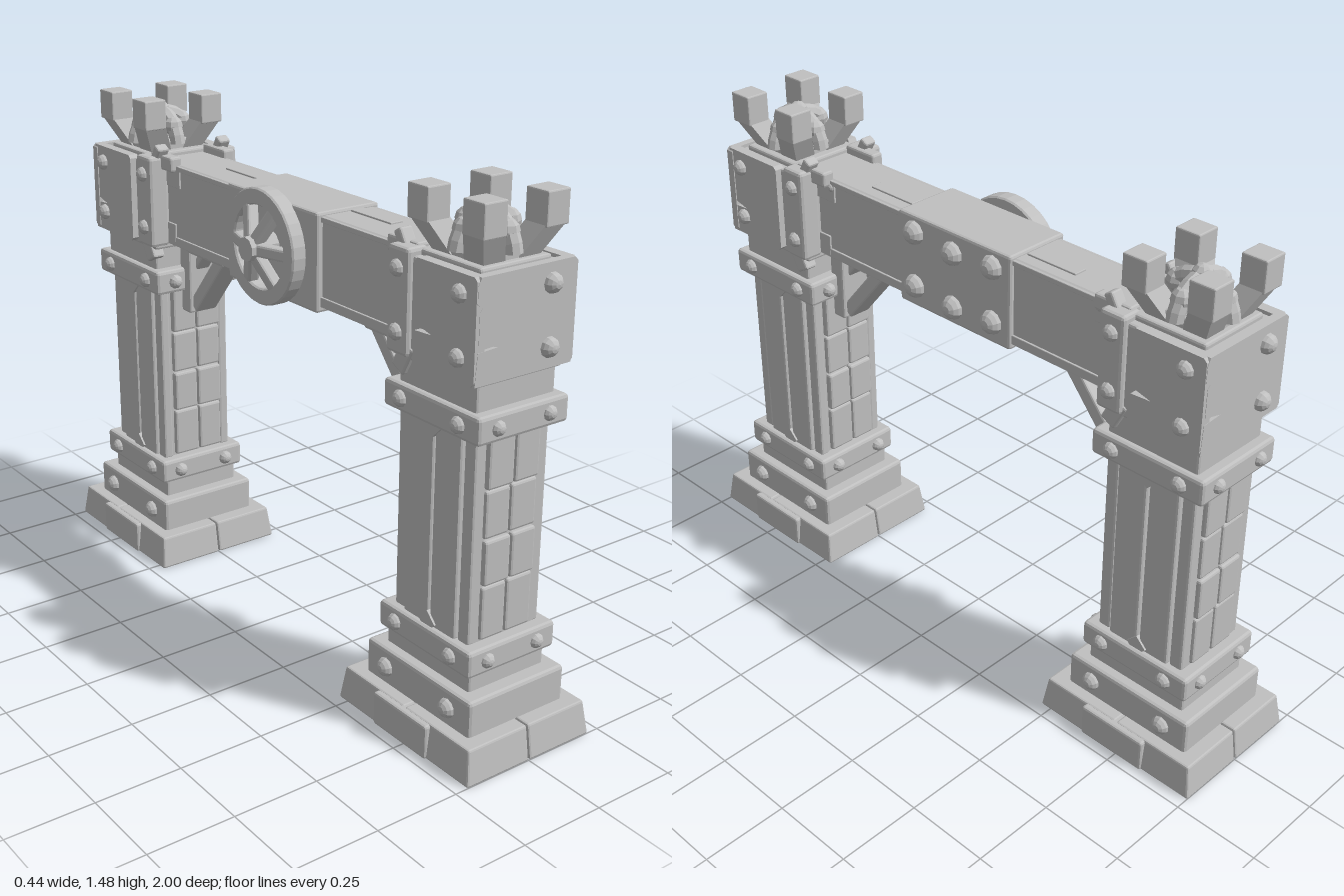
import * as THREE from 'three';
import { RoundedBoxGeometry } from 'three/addons/geometries/RoundedBoxGeometry.js';

const stone = new THREE.MeshStandardMaterial({ color: 0xbfbfbf, flatShading: true });
stone.name = 'grey stone';

function add(parent, name, geometry, x = 0, y = 0, z = 0) {
  const mesh = new THREE.Mesh(geometry, stone);
  mesh.name = name;
  mesh.position.set(x, y, z);
  parent.add(mesh);
  return mesh;
}

// Chamfered block given by its lower and upper limits
function block(parent, name, [x0, x1], [y0, y1], [z0, z1], bevel = 0.007) {
  const w = x1 - x0, h = y1 - y0, d = z1 - z0;
  const r = Math.min(bevel, w * 0.3, h * 0.3, d * 0.3);
  return add(parent, name, new RoundedBoxGeometry(w, h, d, 1, r), (x0 + x1) / 2, (y0 + y1) / 2, (z0 + z1) / 2);
}

// Domed bolt whose head points along dir
function bolt(parent, x, y, z, dir, r = 0.025) {
  const dome = new THREE.SphereGeometry(r, 10, 4, 0, Math.PI * 2, 0, Math.PI / 2);
  const mesh = add(parent, 'bolt', dome, x, y, z);
  mesh.quaternion.setFromUnitVectors(new THREE.Vector3(0, 1, 0), new THREE.Vector3(...dir));
  return mesh;
}

// Bar of rectangular section between two points in the y-z plane
function bar(parent, name, a, b, width, thick, x = 0) {
  const dy = b[0] - a[0], dz = b[1] - a[1];
  const mesh = add(parent, name, new RoundedBoxGeometry(width, Math.hypot(dy, dz), thick, 1, 0.006),
    x, (a[0] + b[0]) / 2, (a[1] + b[1]) / 2);
  mesh.rotation.x = Math.atan2(dz, dy);
  return mesh;
}

// Flat plate with a worn, notched left edge
function wornPlate(w, h, depth) {
  const s = new THREE.Shape([[-w, -h], [w - 0.01, -h], [w, -h + 0.01], [w, h - 0.01], [w - 0.01, h],
    [-w + 0.01, h], [-w, h - 0.02], [-w, 0.07], [-w + 0.017, 0.06], [-w + 0.008, 0.05], [-w + 0.008, -0.03],
    [-w + 0.07, -0.046], [-w + 0.006, -0.05]].map(p => new THREE.Vector2(...p)));
  return new THREE.ExtrudeGeometry(s, { depth, bevelEnabled: false });
}

// Battlement prongs and crossed pipes on top of a tower
function crown(tower) {
  const g = new THREE.Group();
  g.name = 'crown';
  g.position.z = 0.02;
  tower.add(g);
  block(g, 'crownBase', [-0.09, 0.09], [1.29, 1.345], [-0.09, 0.09]);
  for (const sx of [-1, 1]) for (const sz of [-1, 1]) {
    const arm = new THREE.BoxGeometry(0.07, 0.09, 0.07);
    const p = arm.attributes.position;
    for (let i = 0; i < p.count; i++) {
      const t = p.getY(i) > 0 ? 0.1 : 0.055;
      p.setX(i, p.getX(i) + sx * t);
      p.setZ(i, p.getZ(i) + sz * t);
    }
    add(g, 'prongArm', arm, 0, 1.355, 0);
    block(g, 'prong', [sx * 0.1 - 0.037, sx * 0.1 + 0.037], [1.39, 1.48], [sz * 0.1 - 0.038, sz * 0.1 + 0.038], 0.004);
  }
  for (let i = 0; i < 4; i++) {
    const arc = new THREE.QuadraticBezierCurve3(new THREE.Vector3(0.095, 1.33, 0),
      new THREE.Vector3(0.085, 1.41, 0), new THREE.Vector3(0, 1.415, 0));
    const pipe = add(g, 'pipe', new THREE.TubeGeometry(arc, 6, 0.024, 8));
    pipe.rotation.y = i * Math.PI / 2;
    const a = i * Math.PI / 2;
    add(g, 'pipeKnob', new THREE.SphereGeometry(0.031, 8, 6), Math.cos(a) * 0.072, 1.382, Math.sin(a) * 0.072);
  }
  add(g, 'finial', new THREE.CylinderGeometry(0.026, 0.032, 0.12, 8), 0, 1.375, 0);
  add(g, 'finialCap', new THREE.SphereGeometry(0.03, 8, 6), 0, 1.42, 0);
}

// Tower standing at its own origin, outer face towards +z
function createTower() {
  const t = new THREE.Group();

  // Flared footing of separate stones
  const foot = [[-0.21, -0.002, -0.263, -0.005], [0.002, 0.21, -0.263, 0.04], [-0.21, -0.002, 0, 0.263], [0.002, 0.21, 0.045, 0.263]];
  for (const [x0, x1, z0, z1] of foot) {
    const m = block(t, 'footingStone', [x0, x1], [0, 0.1], [z0, z1], 0.006);
    const p = m.geometry.attributes.position;
    for (let i = 0; i < p.count; i++) {
      const k = p.getY(i) < 0 ? 1.015 : 0.965;
      p.setX(i, (p.getX(i) + m.position.x) * k - m.position.x);
      p.setZ(i, (p.getZ(i) + m.position.z) * k - m.position.z);
    }
  }
  for (const s of [-1, 1]) block(t, 'footingSideStone', s < 0 ? [-0.22, -0.1] : [0.1, 0.22], [0, 0.098], [-0.11, 0.105]);

  // Stepped plinth
  block(t, 'plinth', [-0.165, 0.165], [0.09, 0.2], [-0.207, 0.21], 0.01);
  block(t, 'plinthCap', [-0.13, 0.13], [0.19, 0.26], [-0.165, 0.165]);

  // Shaft core, side planks and stacked end stones
  block(t, 'shaftCore', [-0.112, 0.112], [0.24, 1.05], [-0.14, 0.145]);
  for (const s of [-1, 1]) {
    const px = s < 0 ? [-0.13, -0.1] : [0.1, 0.13];
    block(t, 'sidePlank', px, [0.32, 0.9], [-0.1, -0.004]);
    block(t, 'sidePlank', px, [0.32, 0.9], [0.004, 0.1]);
    const cx = s < 0 ? [-0.122, -0.09] : [0.09, 0.122];
    for (const z of [-0.125, 0.125]) block(t, 'cornerPost', cx, [0.32, 0.9], [z - 0.02, z + 0.02]);
    for (const y of [0.335, 0.885]) {
      const wedge = add(t, 'plankWedge', new THREE.BoxGeometry(0.012, 0.045, 0.045), s * 0.13, y, 0);
      wedge.rotation.x = Math.PI / 4;
    }
    const rows = [0.33, 0.485, 0.615, 0.75, 0.9];
    for (let i = 0; i < 4; i++) {
      const split = i % 2 ? 0.0 : -0.005;
      const out = i % 2 ? 0.16 : 0.155;
      const zs = s < 0 ? [-out, -0.12] : [0.12, out];
      block(t, 'endStone', [-0.087, split - 0.002], [rows[i], rows[i + 1] - 0.004], zs);
      block(t, 'endStone', [split + 0.002, 0.083], [rows[i], rows[i + 1] - 0.004], zs);
    }
  }

  // Iron bands with bolts, and bolts on the plinth
  for (const [y0, y1] of [[0.25, 0.325], [0.888, 0.963]]) {
    block(t, 'band', [-0.15, 0.15], [y0, y1], [-0.178, 0.183], 0.01);
    const y = (y0 + y1) / 2;
    for (const s of [-1, 1]) for (const q of [-1, 1]) {
      bolt(t, s * 0.147, y, q * 0.11, [s, 0, 0], 0.024);
      bolt(t, q * 0.085, y, s * 0.178, [0, 0, s], 0.022);
    }
  }
  for (const s of [-1, 1]) for (const q of [-1, 1]) bolt(t, s * 0.162, 0.148, q * 0.125, [s, 0, 0], 0.028);

  // Neck and head block
  block(t, 'neck', [-0.13, 0.13], [0.95, 1.05], [-0.14, 0.15]);
  block(t, 'head', [-0.14, 0.14], [1.03, 1.3], [-0.16, 0.16]);
  add(t, 'headFrontPlate', wornPlate(0.16, 0.135, 0.025), 0.003, 1.175, 0.145);
  for (const y of [1.095, 1.258]) bolt(t, 0.08, y, 0.168, [0, 0, 1], 0.028);
  for (const s of [-1, 1]) {
    const plate = add(t, 'headSidePlate', wornPlate(0.113, 0.135, 0.03), s * 0.13, 1.175, 0.056);
    plate.rotation.y = s * Math.PI / 2;
    bolt(t, s * 0.158, 1.26, 0.11, [s, 0, 0]);
    bolt(t, s * 0.158, 1.1, 0.11, [s, 0, 0]);
    // Bolted strap on the inner side, with bent ends
    block(t, 'headStrap', s < 0 ? [-0.157, -0.09] : [0.09, 0.157], [1.04, 1.32], [-0.165, -0.085], 0.01);
    bar(t, 'strapTip', [1.29, -0.13], [1.35, -0.165], 0.04, 0.03, s * 0.11);
    bar(t, 'strapFoot', [1.07, -0.095], [0.995, -0.135], 0.04, 0.05, s * 0.125);
    block(t, 'strapTop', s < 0 ? [-0.115, -0.075] : [0.075, 0.115], [1.28, 1.325], [-0.22, -0.1]);
    for (const y of [1.1, 1.265]) bolt(t, s * 0.153, y, -0.125, [s, 0, 0], 0.024);
  }
  block(t, 'headCap', [-0.115, 0.115], [1.29, 1.315], [-0.1, 0.13]);
  crown(t);

  // Diagonal brace under the beam
  block(t, 'bracePlate', [-0.05, 0.05], [0.82, 1.04], [-0.205, -0.15]);
  bar(t, 'brace', [0.84, -0.2], [1.045, -0.375], 0.075, 0.045);
  bar(t, 'braceInner', [0.95, -0.18], [1.045, -0.26], 0.05, 0.025);
  block(t, 'braceShoe', [-0.05, 0.05], [1.015, 1.05], [-0.39, -0.18]);
  bolt(t, 0, 0.86, -0.203, [0, 0, -1], 0.024);
  return t;
}

// Round spoked wheel on the beam's right side
function createWheel() {
  const w = new THREE.Group();
  w.name = 'wheel';
  const ring = new THREE.Shape().absarc(0, 0, 0.162, 0, Math.PI * 2);
  ring.holes.push(new THREE.Path().absarc(0, 0, 0.122, 0, Math.PI * 2, true));
  add(w, 'wheelRim', new THREE.ExtrudeGeometry(ring, { depth: 0.04, bevelEnabled: true, bevelSize: 0.004,
    bevelThickness: 0.005, bevelSegments: 1, curveSegments: 16 }));
  for (let i = 0; i < 6; i++) {
    const spoke = new THREE.Group();
    spoke.name = 'spoke';
    spoke.rotation.z = i * Math.PI / 3;
    const arm = block(spoke, 'spokeArm', [0.01, 0.135], [-0.018, 0.018], [0.025, 0.06]);
    arm.rotation.y = 0.3;
    w.add(spoke);
  }
  const hub = add(w, 'wheelHub', new THREE.CylinderGeometry(0.035, 0.045, 0.09, 10), 0, 0, 0.042);
  hub.rotation.x = Math.PI / 2;
  w.position.set(-0.108, 1.176, 0);
  w.rotation.y = -Math.PI / 2;
  return w;
}

export function createModel() {
  const model = new THREE.Group();
  model.name = 'gateway';

  for (const s of [1, -1]) {
    const tower = createTower();
    tower.name = s > 0 ? 'frontTower' : 'backTower';
    tower.position.z = s * 0.735;
    if (s < 0) tower.rotation.y = Math.PI;
    model.add(tower);
  }

  // Crossbeam with raised edge rails
  block(model, 'beam', [-0.09, 0.085], [1.045, 1.3], [-0.62, 0.62], 0.008);
  for (const s of [-1, 1]) {
    const zs = (a, b) => s > 0 ? [a, b] : [-b, -a];
    for (const xs of [[-0.096, -0.086], [0.081, 0.091]]) {
      block(model, 'beamRail', xs, [1.283, 1.298], zs(0.2, 0.53), 0.002);
      block(model, 'beamRail', xs, [1.047, 1.075], zs(0.2, 0.53), 0.002);
      block(model, 'beamCorner', xs, [1.23, 1.298], zs(0.5, 0.58), 0.002);
      block(model, 'beamCorner', xs, [1.047, 1.115], zs(0.53, 0.58), 0.002);
    }
    bolt(model, 0.083, 1.275, s * 0.515, [1, 0, 0], 0.015);
    block(model, 'beamTopSlat', [0.0, 0.042], [1.295, 1.305], zs(0.22, 0.39), 0.002);
    block(model, 'beamUnderPanel', [-0.05, 0.045], [1.038, 1.05], zs(0.2, 0.34), 0.002);
  }

  // Bolted sleeve at mid-span
  block(model, 'sleeve', [-0.11, 0.1], [1.03, 1.31], [-0.215, 0.215], 0.008);
  for (const y of [1.095, 1.26]) for (const z of [-0.15, 0, 0.15]) bolt(model, 0.097, y - (z ? 0 : 0.012), z, [1, 0, 0], 0.036);
  model.add(createWheel());
  return model;
}
